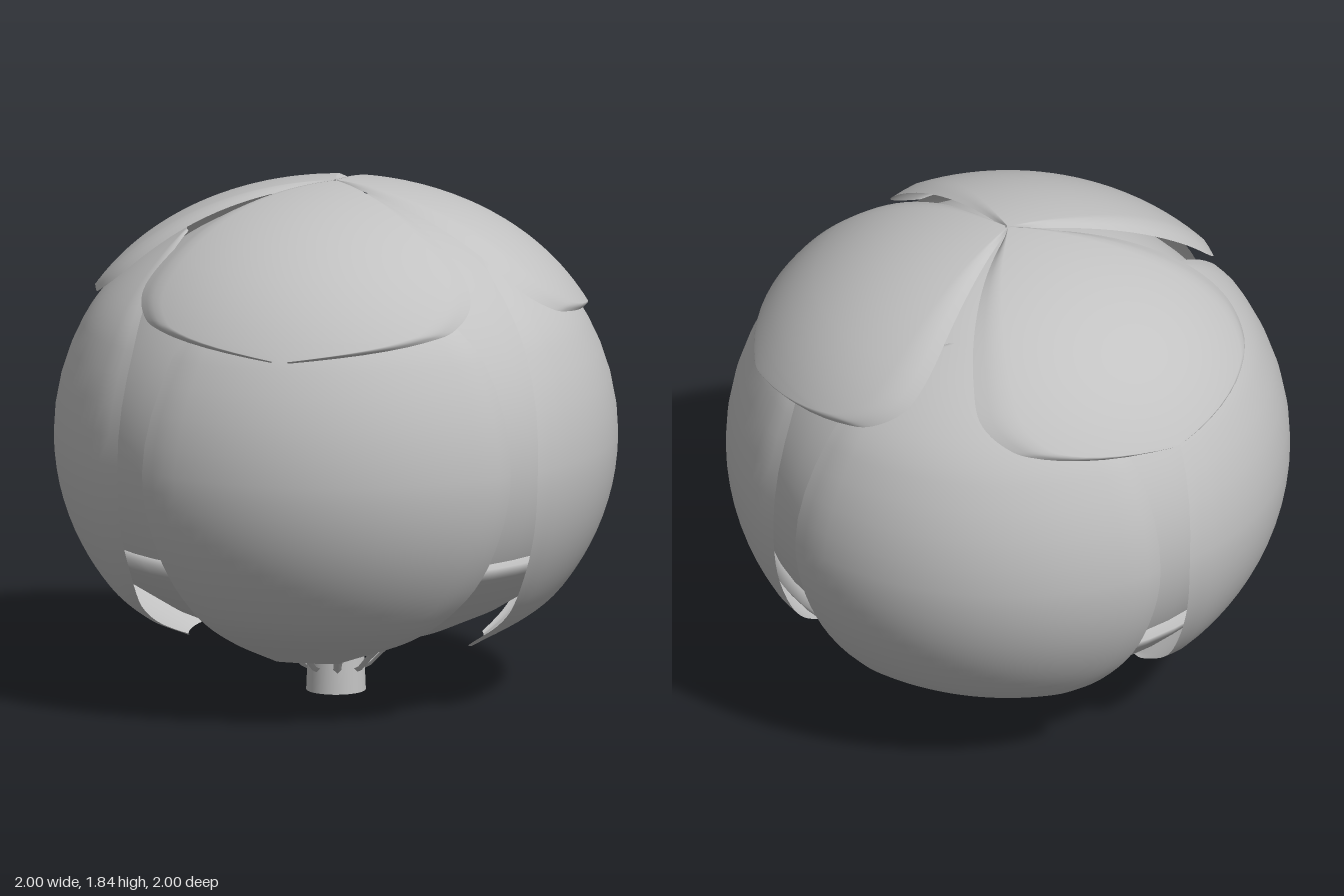
import * as THREE from 'three';

const rad = THREE.MathUtils.degToRad;
const smooth = THREE.MathUtils.smoothstep;
const CENTRE = 0.93, HEIGHT = 0.91;

// Point on the bud: polar angle from the top, azimuth from +z towards +x, scale k
function budPoint(theta, az, k) {
  const r = Math.sin(rad(theta)) * k;
  return [r * Math.sin(rad(az)), CENTRE + HEIGHT * Math.cos(rad(theta)) * k, r * Math.cos(rad(az))];
}

// Curved petal shell; each row is [polar angle, left azimuth, right azimuth]
function petalGeometry(rows, scaleAt, roll) {
  const curve = new THREE.CatmullRomCurve3(rows.map((r) => new THREE.Vector3(...r)), false, 'centripetal');
  const nu = 44, nv = 28, pos = [], index = [];
  for (let i = 0; i <= nu; i++) {
    const p = curve.getPoint(i / nu);
    for (let j = 0; j <= nv; j++) {
      const v = j / nv;
      const edge = smooth(Math.abs(v * 2 - 1), 0.86, 1);
      pos.push(...budPoint(p.x, p.y + (p.z - p.y) * v, scaleAt(p.x) - roll * edge));
      if (i < nu && j < nv) {
        const a = i * (nv + 1) + j, b = a + nv + 1;
        index.push(a, b, a + 1, b, b + 1, a + 1);
      }
    }
  }
  const g = new THREE.BufferGeometry();
  g.setAttribute('position', new THREE.Float32BufferAttribute(pos, 3));
  g.setIndex(index);
  g.computeVertexNormals();
  return g;
}

export function createModel() {
  const group = new THREE.Group();
  const grey = new THREE.MeshStandardMaterial({ color: 0xc2c2c2, side: THREE.DoubleSide });
  grey.name = 'light grey';
  const add = (name, geometry, turn = 0) => {
    const mesh = new THREE.Mesh(geometry, grey);
    mesh.name = name;
    mesh.rotation.y = turn;
    group.add(mesh);
    return mesh;
  };

  // Inner bud, open below, and the shallow cup that holds it
  const core = add('innerBud', new THREE.SphereGeometry(0.93, 48, 32, 0, Math.PI * 2, 0, rad(116)));
  core.scale.y = HEIGHT;
  core.position.y = CENTRE;
  const cup = [[0, 0.17], [0.1, 0.175], [0.22, 0.205], [0.42, 0.25], [0.6, 0.33], [0.76, 0.43], [0.86, 0.53], [0.89, 0.575], [0.84, 0.585]];
  add('cup', new THREE.LatheGeometry(cup.map((p) => new THREE.Vector2(...p)), 48));

  // Four side petals, curling inwards at the bottom
  const side = petalGeometry([
    [33, 2, 24], [37, -8, 33], [44, -15, 43], [54, -19, 51], [64, -21, 56], [90, -24, 58.5],
    [105, -23, 57], [118, -21, 54], [128, -18, 48], [136, -15, 41], [142, -12, 32], [147, -6, 23],
  ], (t) => 1 - 0.03 * (1 - smooth(t, 35, 62)) - 0.04 * smooth(t, 126, 147), 0.008);
  for (let i = 0; i < 4; i++) add('sidePetal', side, i * Math.PI / 2);

  // Three top petals, each with a blunt point
  const top = petalGeometry([
    [0.5, -50, 62], [10, -52, 62], [27, -49, 62], [42, -45, 61],
    [50, -42, 58], [56, -34, 50], [58, -27, 42], [62.3, 5, 9],
  ], (t) => 1 + 0.028 * smooth(t, 5, 55), 0.018);
  for (let i = 0; i < 3; i++) add('topPetal', top, i * Math.PI * 2 / 3);

  // Stem
  add('stem', new THREE.CylinderGeometry(0.098, 0.106, 0.18, 32)).position.y = 0.09;

  // Small fan-shaped sepals: a thin stalk flaring out under the cup
  const sepal = new THREE.BufferGeometry();
  const sections = [[0.09, 0.085, 0.016], [0.12, 0.1, 0.014], [0.16, 0.14, 0.018], [0.2, 0.175, 0.045], [0.24, 0.205, 0.07]];
  const pos = [], index = [];
  sections.forEach(([r, y, w], i) => {
    pos.push(-w, y, r, 0, y - 0.014, r + 0.004, w, y, r);
    if (i === sections.length - 1) return;
    for (let j = 0; j < 2; j++) {
      const a = i * 3 + j;
      index.push(a, a + 3, a + 1, a + 1, a + 3, a + 4);
    }
  });
  sepal.setAttribute('position', new THREE.Float32BufferAttribute(pos, 3));
  sepal.setIndex(index.reverse());
  sepal.computeVertexNormals();
  for (let i = 0; i < 8; i++) add('sepal', sepal, (i + 0.5) * Math.PI / 4);

  return group;
}
